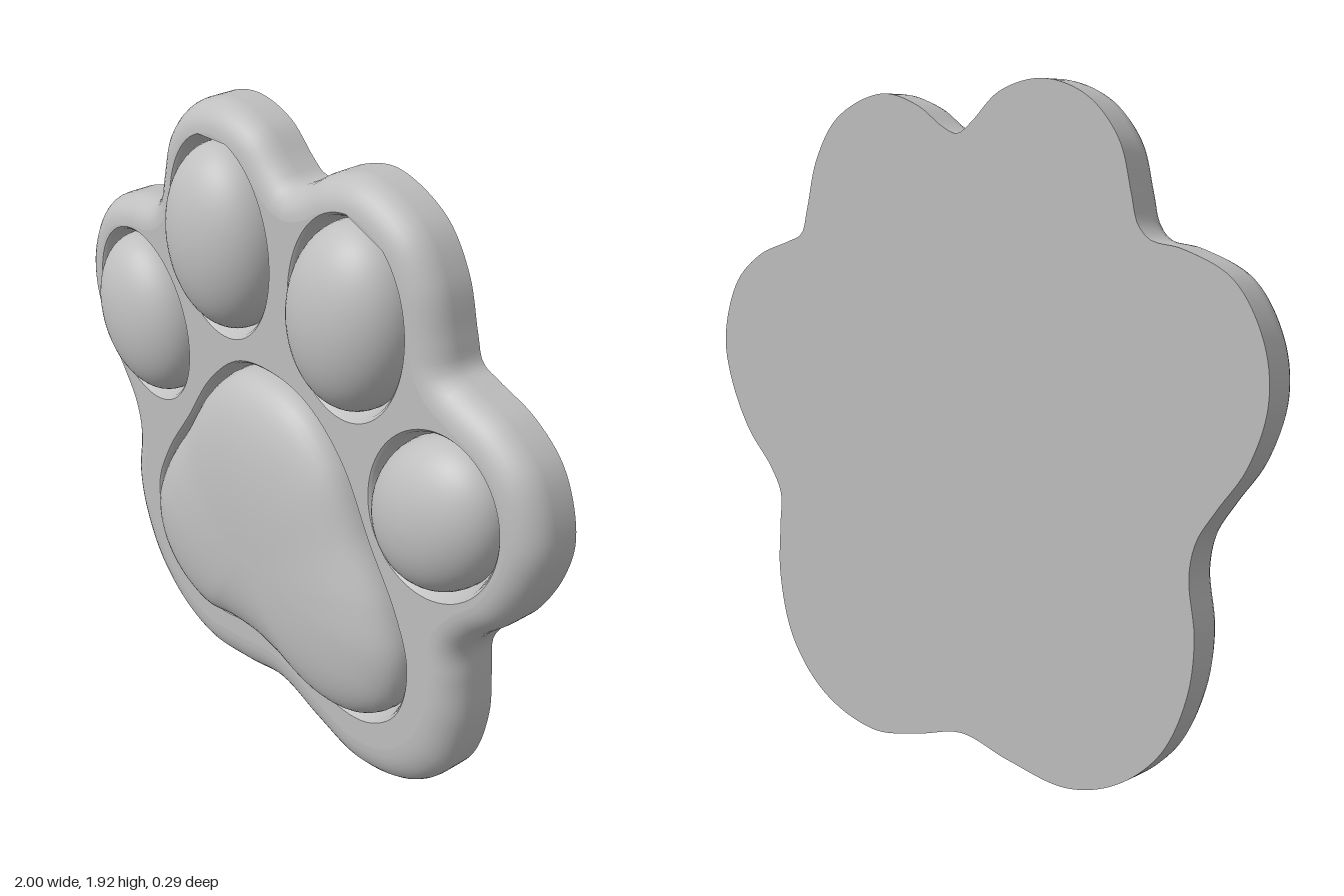
import * as THREE from 'three';

const BACK = -0.145, FACE = 0.015, FLOOR = -0.03;

// Smooth closed outline (counter-clockwise) through a few x, y pairs
function outline(flat, count) {
  const pts = [];
  for (let i = 0; i < flat.length; i += 2) pts.push(new THREE.Vector3(flat[i], flat[i + 1], 0));
  return new THREE.CatmullRomCurve3(pts, true, 'centripetal')
    .getSpacedPoints(count).slice(0, count).map(p => new THREE.Vector2(p.x, p.y));
}

function ellipse(cx, cy, rx, ry, tilt, count = 72) {
  return new THREE.EllipseCurve(cx, cy, rx, ry, 0, Math.PI * 2, false, tilt)
    .getPoints(count).slice(0, count);
}

// Move an outline along its normals; positive distance goes outwards
function offset(pts, distance) {
  const n = pts.length;
  return pts.map((p, i) => {
    const t = pts[(i + 1) % n].clone().sub(pts[(i + n - 1) % n]).normalize();
    const d = distance(p);
    return new THREE.Vector2(p.x + t.y * d, p.y - t.x * d);
  });
}

// Skin a stack of closed rings { pts, z }
function loft(rings) {
  const n = rings[0].pts.length, pos = [], idx = [];
  for (const { pts, z } of rings) for (const p of pts) pos.push(p.x, p.y, z);
  for (let r = 0; r < rings.length - 1; r++) {
    for (let i = 0; i < n; i++) {
      const a = r * n + i, b = r * n + (i + 1) % n;
      idx.push(a, b, b + n, a, b + n, a + n);
    }
  }
  const g = new THREE.BufferGeometry();
  g.setAttribute('position', new THREE.Float32BufferAttribute(pos, 3));
  g.setIndex(idx);
  g.computeVertexNormals();
  return g;
}

// Cushion over an outline: rings shrink to the centre on a superellipse profile
function domeGeometry(pts, centre, height, power) {
  const rings = [], steps = 16;
  for (let k = 0; k <= steps; k++) {
    const a = (k / steps) * Math.PI / 2;
    const s = k === steps ? 0.001 : Math.pow(Math.cos(a), 2 / power);
    const z = FLOOR + height * Math.pow(Math.sin(a), 2 / power);
    rings.push({ pts: pts.map(p => p.clone().sub(centre).multiplyScalar(s).add(centre)), z });
  }
  return loft(rings);
}

export function createModel() {
  const group = new THREE.Group();
  const grey = new THREE.MeshStandardMaterial({ color: 0xbfbfbf });
  grey.name = 'plain grey';
  const add = (name, geometry) => {
    const mesh = new THREE.Mesh(geometry, grey);
    mesh.name = name;
    group.add(mesh);
  };

  const body = outline([
    0, 0.07, 0.17, 0.03, 0.36, 0, 0.57, 0.07, 0.71, 0.22, 0.765, 0.42, 0.76, 0.58, 0.755, 0.68,
    0.8, 0.76, 0.9, 0.87, 0.98, 1.03, 1, 1.16, 0.94, 1.33, 0.83, 1.42, 0.7, 1.465, 0.64, 1.49,
    0.615, 1.56, 0.57, 1.71, 0.48, 1.83, 0.3, 1.895, 0.16, 1.86, 0.065, 1.8, 0.01, 1.78,
    -0.04, 1.81, -0.14, 1.89, -0.29, 1.92, -0.44, 1.87, -0.54, 1.76, -0.58, 1.625, -0.6, 1.55,
    -0.64, 1.51, -0.74, 1.49, -0.89, 1.42, -0.98, 1.27, -0.995, 1.12, -0.94, 0.96,
    -0.855, 0.845, -0.795, 0.755, -0.775, 0.66, -0.795, 0.5, -0.775, 0.34, -0.695, 0.17,
    -0.55, 0.05, -0.38, 0, -0.175, 0.03], 300);

  const palm = outline([
    -0.015, 1.19, -0.165, 1.16, -0.3, 1.04, -0.415, 0.86, -0.535, 0.675, -0.595, 0.52,
    -0.57, 0.38, -0.47, 0.28, -0.31, 0.235, -0.15, 0.27, 0, 0.285, 0.145, 0.27, 0.305, 0.235,
    0.43, 0.265, 0.535, 0.37, 0.565, 0.54, 0.51, 0.69, 0.395, 0.86, 0.27, 1.06, 0.13, 1.165], 140);

  // Pads: name, outline, centre, height above the groove floor, profile power
  const toe = (name, x, y, rx, ry, tilt, height) =>
    ({ name, pts: ellipse(x, y, rx, ry, tilt), centre: new THREE.Vector2(x, y), height, power: 2.1 });
  const pads = [
    { name: 'palmPad', pts: palm, centre: new THREE.Vector2(-0.015, 0.62), height: 0.175, power: 2.6 },
    toe('rightInnerToe', -0.265, 1.535, 0.208, 0.275, 0.08, 0.165),
    toe('leftInnerToe', 0.285, 1.51, 0.208, 0.275, -0.14, 0.165),
    toe('rightOuterToe', -0.66, 1.13, 0.203, 0.252, 0.35, 0.15),
    toe('leftOuterToe', 0.65, 1.09, 0.203, 0.255, -0.6, 0.15),
  ];

  // Rim: straight side, then a rounded front edge that is wider near the bottom
  const bevel = p => 0.085 + 0.045 * THREE.MathUtils.smoothstep(0.6 - p.y, 0, 0.5);
  const rim = [{ pts: body, z: BACK }];
  for (let k = 0; k <= 8; k++) {
    const a = (k / 8) * Math.PI / 2;
    rim.push({
      pts: offset(body, p => -bevel(p) * (1 - Math.cos(a))),
      z: FACE - 0.09 * (1 - Math.sin(a)),
    });
  }
  add('rim', loft(rim));

  // Front face with an opening for each pad, and a groove running round the pad
  const face = new THREE.Shape(rim[rim.length - 1].pts);
  for (const pad of pads) {
    const edge = offset(pad.pts, () => 0.026);
    face.holes.push(new THREE.Path(edge));
    add(pad.name + 'Groove', loft([
      { pts: edge, z: FACE },
      { pts: offset(pad.pts, () => 0.018), z: FACE - 0.008 },
      { pts: offset(pad.pts, () => 0.008), z: FLOOR + 0.01 },
      { pts: pad.pts, z: FLOOR },
    ]));
    add(pad.name, domeGeometry(pad.pts, pad.centre, pad.height, pad.power));
  }
  add('frontFace', new THREE.ShapeGeometry(face).translate(0, 0, FACE));

  // Flat back, turned to face -z
  const back = new THREE.Shape(body.map(p => new THREE.Vector2(-p.x, p.y)));
  add('backFace', new THREE.ShapeGeometry(back).rotateY(Math.PI).translate(0, 0, BACK));

  return group;
}
